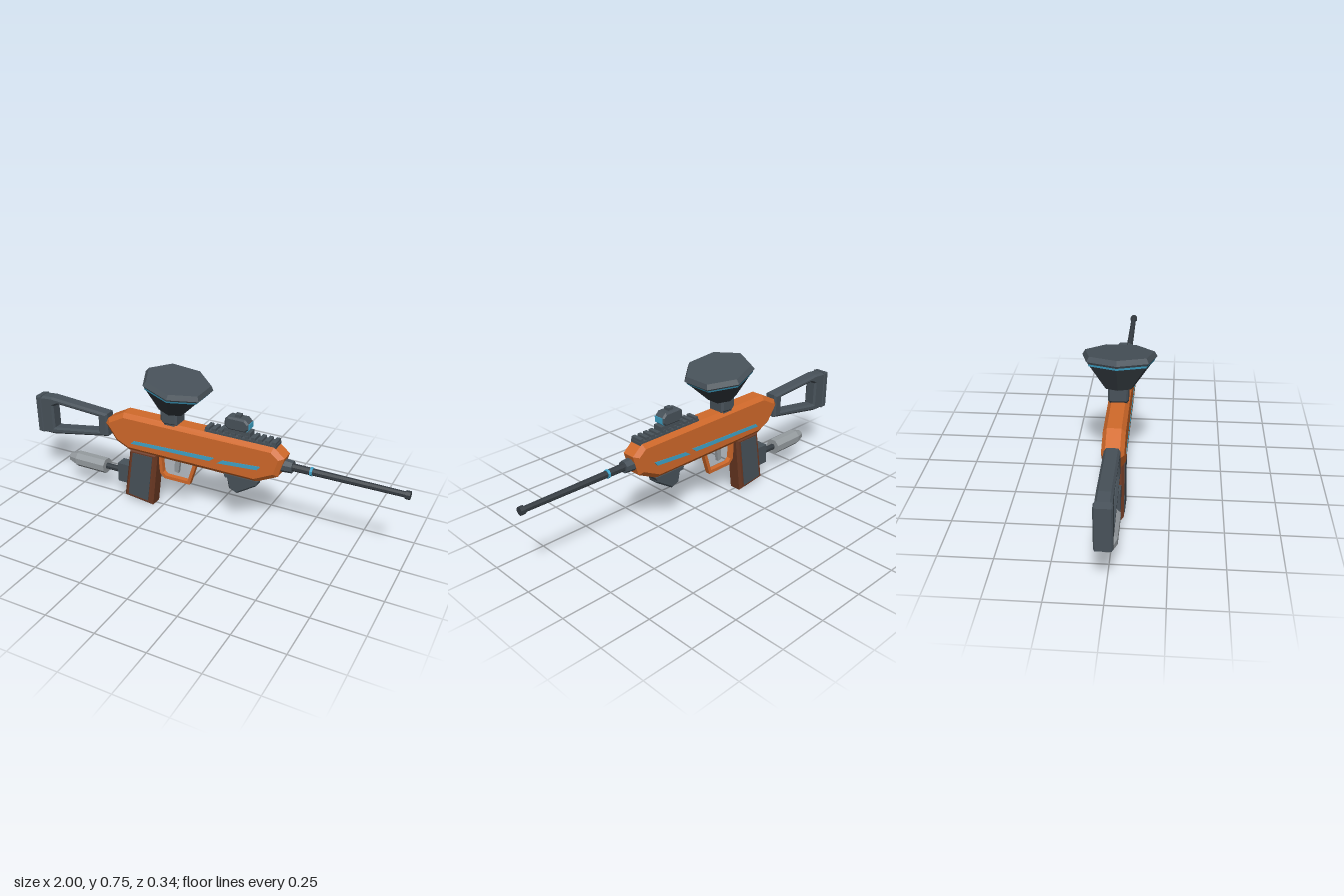
import * as THREE from 'three';

const mat = (name, color) => {
  const m = new THREE.MeshStandardMaterial({ color, flatShading: true });
  m.name = name;
  return m;
};

export function createModel() {
  const root = new THREE.Group();
  const orange = mat('orange', 0xd26a2a);
  const grey = mat('dark grey', 0x48525a);
  const dark = mat('charcoal', 0x353c42);
  const brown = mat('brown', 0x6e3a24);
  const silver = mat('silver', 0x969ca0);
  const blue = mat('blue', 0x3fa5cb);

  const add = (name, geo, material, x = 0, y = 0, z = 0, parent = root) => {
    const mesh = new THREE.Mesh(geo, material);
    mesh.name = name;
    mesh.position.set(x, y, z);
    parent.add(mesh);
    return mesh;
  };
  const box = (name, m, x0, x1, y0, y1, w) =>
    add(name, new THREE.BoxGeometry(x1 - x0, y1 - y0, w), m, (x0 + x1) / 2, (y0 + y1) / 2);

  const vecs = pts => pts.map(p => new THREE.Vector2(p[0], p[1]));
  // Side profile extruded to a total width, with bevels that stay inside the outline
  const slab = (name, m, pts, width, bevel = 0, bevelDepth = bevel, hole = null) => {
    const shape = new THREE.Shape(vecs(pts));
    if (hole) shape.holes.push(new THREE.Path(vecs(hole)));
    const depth = width - 2 * bevelDepth;
    const geo = new THREE.ExtrudeGeometry(shape, {
      depth, bevelEnabled: bevel > 0, bevelSize: bevel, bevelOffset: -bevel,
      bevelThickness: bevelDepth, bevelSegments: 1,
    });
    geo.translate(0, 0, -depth / 2);
    return add(name, geo, m);
  };
  // Octagonal rod along x
  const rod = (name, m, x0, x1, r0, r1, y) => {
    const geo = new THREE.CylinderGeometry(r1, r0, x1 - x0, 8);
    geo.rotateY(Math.PI / 8).rotateZ(-Math.PI / 2);
    return add(name, geo, m, (x0 + x1) / 2, y);
  };

  // Receiver body
  slab('body', orange, [[-0.45, 0.503], [-0.545, 0.452], [-0.56, 0.42], [-0.50, 0.335], [-0.425, 0.30],
    [0.28, 0.30], [0.39, 0.355], [0.42, 0.457], [0.365, 0.503]], 0.1, 0.022, 0.018);

  // Blue side stripes, mirrored on both sides
  const stripes = [
    [[-0.405, 0.347], [0.04, 0.36], [0.068, 0.383], [-0.385, 0.366]],
    [[0.08, 0.358], [0.29, 0.374], [0.308, 0.396], [0.11, 0.38]],
  ];
  for (const side of [-1, 1]) for (const pts of stripes)
    slab('sideStripe', blue, pts, 0.003).position.z = side * 0.0505;

  // Shoulder stock with butt pad
  slab('stock', grey, [[-0.98, 0.483], [-0.9, 0.49], [-0.555, 0.468], [-0.555, 0.343], [-0.9, 0.278], [-0.98, 0.276]],
    0.07, 0.01, 0.01,
    [[-0.895, 0.315], [-0.61, 0.363], [-0.61, 0.443], [-0.86, 0.457], [-0.895, 0.44]]);
  slab('buttPad', grey, [[-1, 0.48], [-0.965, 0.487], [-0.965, 0.276], [-1, 0.278]], 0.078, 0.006);

  // Grip with inset side panels
  slab('grip', brown, [[-0.42, 0.31], [-0.26, 0.31], [-0.297, 0.005], [-0.465, 0.025]], 0.084, 0.012, 0.012);
  for (const side of [-1, 1])
    slab('gripPanel', grey, [[-0.40, 0.292], [-0.285, 0.292], [-0.32, 0.03], [-0.437, 0.043]], 0.004)
      .position.z = side * 0.0425;

  // Air tank behind the grip
  box('tankMount', grey, -0.505, -0.42, 0.095, 0.2, 0.06);
  rod('tankRod', dark, -0.6, -0.5, 0.016, 0.016, 0.147);
  rod('tank', silver, -0.77, -0.593, 0.042, 0.042, 0.147);
  rod('tankNose', silver, -0.82, -0.77, 0.024, 0.042, 0.147);

  // Trigger and guard
  slab('triggerGuard', orange, [[-0.268, 0.305], [-0.26, 0.198], [-0.235, 0.172], [-0.09, 0.172], [-0.047, 0.305]],
    0.026, 0, 0, [[-0.25, 0.3], [-0.243, 0.205], [-0.226, 0.189], [-0.102, 0.189], [-0.067, 0.3]]);
  slab('trigger', silver, [[-0.172, 0.305], [-0.143, 0.305], [-0.155, 0.22], [-0.178, 0.226]], 0.018);

  // Foregrip
  slab('foregripBase', grey, [[0.115, 0.305], [0.295, 0.305], [0.285, 0.287], [0.12, 0.287]], 0.084);
  slab('foregrip', grey, [[0.12, 0.295], [0.285, 0.295], [0.278, 0.268], [0.178, 0.203], [0.135, 0.22]],
    0.06, 0.008);

  // Barrel
  const by = 0.407;
  rod('barrelCollar', grey, 0.395, 0.452, 0.034, 0.03, by);
  rod('barrelSleeve', dark, 0.45, 0.54, 0.019, 0.018, by);
  rod('barrelRing', blue, 0.537, 0.549, 0.021, 0.021, by);
  rod('barrelTube', dark, 0.545, 0.985, 0.017, 0.014, by);
  rod('muzzle', dark, 0.978, 1, 0.02, 0.02, by);

  // Accessory rail
  box('rail', grey, 0.005, 0.375, 0.498, 0.513, 0.064);
  for (let i = 0; i < 11; i++) {
    const x = 0.008 + i * 0.0344;
    box('railTooth', grey, x, x + 0.02, 0.51, 0.526, 0.06);
  }

  // Sight
  box('sightBase', grey, 0.105, 0.24, 0.52, 0.543, 0.05);
  slab('sight', grey, [[0.128, 0.54], [0.108, 0.557], [0.108, 0.59], [0.126, 0.605], [0.212, 0.605],
    [0.232, 0.585], [0.232, 0.557], [0.215, 0.54]], 0.062, 0.008);
  slab('sightLens', blue, [[0.23, 0.585], [0.235, 0.585], [0.235, 0.557], [0.218, 0.542], [0.213, 0.544], [0.23, 0.558]], 0.048);
  box('sightKnob', grey, 0.155, 0.185, 0.6, 0.618, 0.028);

  // Hopper: seven-sided funnel on a neck, tipped forward
  box('hopperNeckBase', grey, -0.212, -0.155, 0.49, 0.57, 0.08);
  slab('hopperNeck', grey, [[-0.232, 0.515], [-0.232, 0.578], [-0.14, 0.565], [-0.14, 0.5], [-0.212, 0.495]], 0.094, 0.01);
  const hopper = new THREE.Group();
  hopper.name = 'hopper';
  hopper.position.set(-0.185, 0.568, 0);
  hopper.rotation.z = -0.2;
  root.add(hopper);
  const layers = [
    ['funnel', dark, 0, 0.116, 0.072, 0.158],
    ['hopperStripe', blue, 0.116, 0.126, 0.162, 0.166],
    ['hopperRim', dark, 0.126, 0.137, 0.166, 0.168],
    ['hopperLid', grey, 0.137, 0.16, 0.176, 0.162],
  ];
  for (const [name, m, y0, y1, r0, r1] of layers)
    add(name, new THREE.CylinderGeometry(r1, r0, y1 - y0, 7, 1, false, -Math.PI / 2), m, 0, (y0 + y1) / 2, 0, hopper);

  return root;
}
